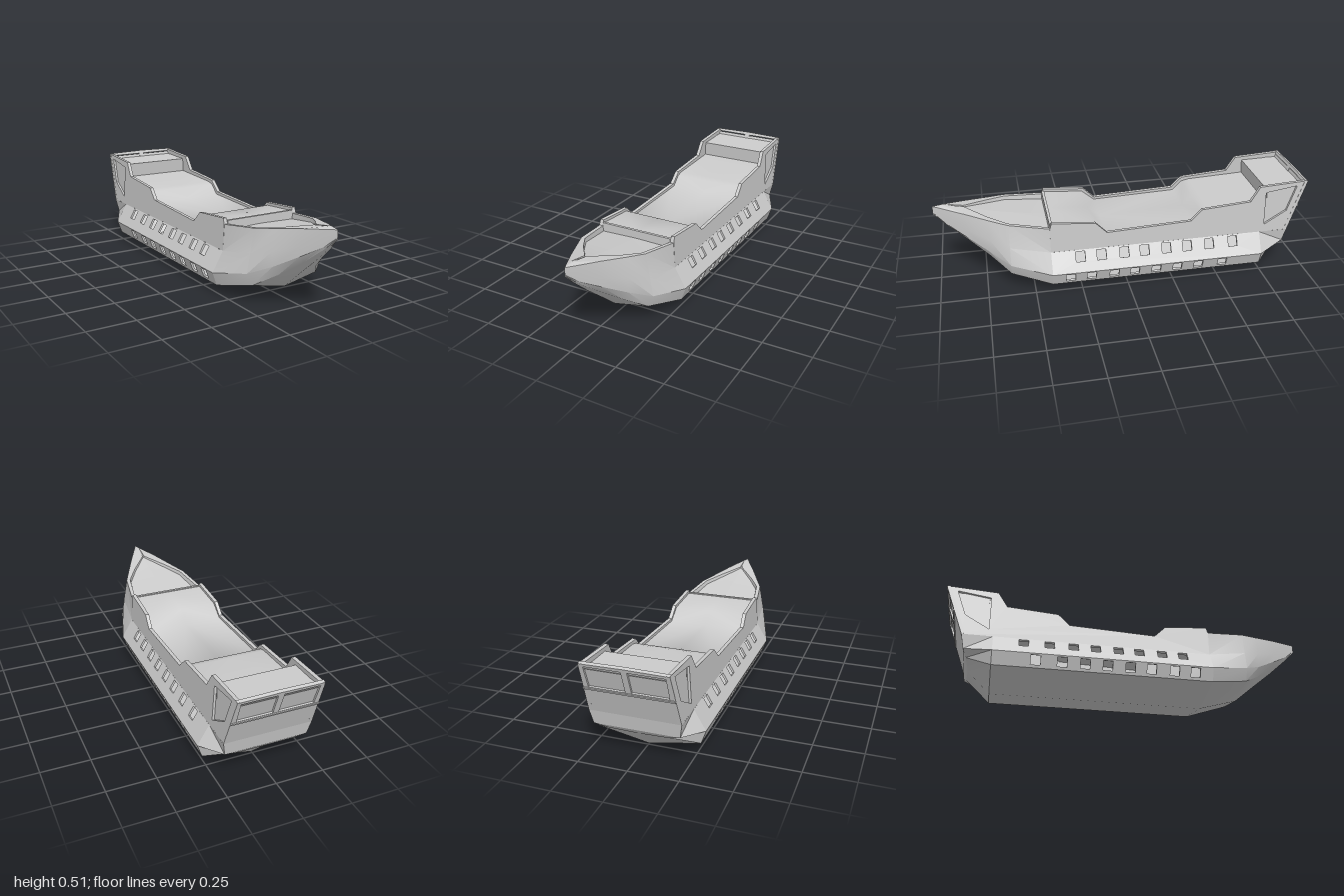
import * as THREE from 'three';
import { toCreasedNormals } from 'three/addons/utils/BufferGeometryUtils.js';

const V = (x, y, z) => new THREE.Vector3(x, y, z);

export function createModel() {
  const ship = new THREE.Group();
  ship.name = 'sailingShipHull';
  const material = new THREE.MeshStandardMaterial({ color: 0xcccccc, side: THREE.DoubleSide });

  function add(name, geo) {
    const mesh = new THREE.Mesh(geo, material);
    mesh.name = name;
    ship.add(mesh);
  }

  // Copy reflected across x = 0, with the corner order reversed
  function reflect(geo) {
    const out = geo.index ? geo.toNonIndexed() : geo.clone();
    const src = out.attributes.position.clone();
    const pos = out.attributes.position;
    for (let i = 0; i < pos.count; i++) {
      const j = i % 3 === 1 ? i + 1 : i % 3 === 2 ? i - 1 : i;
      pos.setXYZ(i, -src.getX(j), src.getY(j), src.getZ(j));
    }
    out.computeVertexNormals();
    return out;
  }

  function addPair(name, geo, crease) {
    const finish = g => (crease ? toCreasedNormals(g, crease) : g);
    add(name + 'Left', finish(geo));
    add(name + 'Right', finish(reflect(geo)));
  }

  // Skin between successive rows of [x, y, z] points
  function loft(rows) {
    const p = [];
    for (let s = 0; s + 1 < rows.length; s++) {
      for (let i = 0; i + 1 < rows[s].length; i++) {
        const a = rows[s][i], b = rows[s][i + 1], c = rows[s + 1][i + 1], d = rows[s + 1][i];
        p.push(...a, ...b, ...c, ...a, ...c, ...d);
      }
    }
    const geo = new THREE.BufferGeometry();
    geo.setAttribute('position', new THREE.Float32BufferAttribute(p, 3));
    geo.computeVertexNormals();
    return geo;
  }

  // Flat plate with holes, laid on the axes u and v at an origin
  function plate(outline, holes, depth, origin, u, v) {
    const points = list => list.map(q => new THREE.Vector2(q[0], q[1]));
    const shape = new THREE.Shape(points(outline));
    shape.holes = holes.map(h => new THREE.Path(points(h)));
    const geo = new THREE.ExtrudeGeometry(shape, { depth, bevelEnabled: false });
    const n = u.clone().cross(v).normalize();
    geo.applyMatrix4(new THREE.Matrix4().makeBasis(u, v, n).setPosition(origin));
    geo.computeVertexNormals();
    return geo;
  }
  const rect = (a, b, c, d) => [[a, b], [c, b], [c, d], [a, d]];

  // Hull sections: keel, chine, wale, knuckle
  const mid = z => [[0, 0, z], [0.265, 0.05, z], [0.29, 0.12, z], [0.229, 0.225, z]];
  const stern = [[0, 0.12, -0.86], [0.15, 0.13, -0.87], [0.215, 0.15, -0.885], [0.229, 0.225, -0.9]];
  const aft = -0.74, fore = 0.41;
  addPair('sternHull', loft([stern, mid(aft)]), 0.5);
  addPair('bottom', loft([mid(aft).slice(0, 2), mid(fore).slice(0, 2)]));
  addPair('lowerTransom', loft([stern.map(q => [0, q[1], q[2]]), stern]), 0.3);

  // Bow sections go on over the rail to the middle of the foredeck
  const bow = [
    [0.41, [0, 0], [0.265, 0.05], [0.29, 0.12], [0.229, 0.225], [0.22, 0.36], [0.2, 0.36], [0.197, 0.33], [0, 0.335]],
    [0.62, [0, 0.06], [0.195, 0.1], [0.225, 0.165], [0.208, 0.262], [0.185, 0.385], [0.163, 0.385], [0.158, 0.365], [0, 0.37]],
    [0.72, [0, 0.145], [0.11, 0.17], [0.147, 0.215], [0.153, 0.292], [0.138, 0.4], [0.1, 0.402], [0.096, 0.385], [0, 0.39]],
    [0.84, [0, 0.245], [0.05, 0.26], [0.08, 0.287], [0.083, 0.335], [0.08, 0.42], [0.006, 0.428], [0.003, 0.42], [0, 0.42]],
    [0.94, [0, 0.335], [0.02, 0.34], [0.028, 0.35], [0.03, 0.375], [0.03, 0.433], [0.01, 0.445], [0.005, 0.446], [0, 0.447]],
    [1, [0, 0.395], [0, 0.4], [0, 0.405], [0, 0.41], [0, 0.44], [0, 0.441], [0, 0.441], [0, 0.441]]
  ].map(([z, ...row]) => row.map(([x, y]) => [x, y, z]));
  addPair('bowHull', loft(bow), 0.45);

  // Side strakes pierced by rows of square ports
  const forward = V(0, 0, 1);
  function strake(name, from, to, y0, y1, centres) {
    const dir = V(to[0] - from[0], to[1] - from[1], 0);
    const length = dir.length();
    const at = y => (y - from[1]) / dir.y * length;
    const holes = centres.map(z => rect(z - 0.025, at(y0), z + 0.025, at(y1)));
    addPair(name, plate(rect(aft, 0, fore, length), holes, 0.012,
      V(from[0], from[1], 0), forward, dir.normalize()));
  }
  const [, chine, wale, knuckle] = mid(0);
  strake('lowerPortStrake', chine, wale, 0.065, 0.112,
    [0.315, 0.203, 0.08, -0.032, -0.15, -0.267, -0.385, -0.52]);
  strake('upperPortStrake', wale, knuckle, 0.17, 0.217,
    [0.257, 0.144, 0.021, -0.09, -0.21, -0.326, -0.45, -0.583]);

  // Leaning bulwarks with a stepped rail and a recessed quarter panel
  const sheer = [[-0.9, 0.225], [0.41, 0.225], [0.41, 0.36], [0.4, 0.39], [0.17, 0.37], [0.11, 0.31],
    [-0.35, 0.33], [-0.41, 0.39], [-0.68, 0.41], [-0.73, 0.49], [-0.998, 0.505]];
  const quarter = [[-0.765, 0.267], [-0.765, 0.455], [-0.94, 0.48], [-0.89, 0.34]];
  const lean = V(-0.05, 1, 0);
  addPair('bulwark', plate(sheer, [quarter], 0.02, V(0.24, 0, 0), forward, lean));
  addPair('quarterPanel', plate(quarter, [], 0.006, V(0.228, 0, 0), forward, lean));

  // Main deck steps down to the waist and up to the poop
  const deck = [[-0.985, 0.475], [-0.77, 0.47], [-0.775, 0.39], [-0.45, 0.375], [-0.41, 0.365],
    [-0.36, 0.312], [0.11, 0.295], [0.18, 0.355], [0.4, 0.372]];
  addPair('deck', loft(deck.map(([z, y]) => [[0.21, y, z], [0, y, z]])), 0.9);
  const beam = new THREE.BoxGeometry(0.4, 0.05, 0.015);
  beam.translate(0, 0.352, 0.402);
  add('forecastleBeam', beam);

  // Raked transom with two recessed panels
  const rake = V(0, 0.28, -0.1).normalize();
  const across = V(1, 0, 0);
  const base = V(0, 0.225, -0.9);
  const edge = [[-0.229, 0], [0.229, 0], [0.216, 0.295], [0, 0.299], [-0.216, 0.295]];
  const panels = [rect(0.015, 0.155, 0.195, 0.28), rect(-0.195, 0.155, -0.015, 0.28)];
  add('transom', plate(edge, panels, 0.018, base, across, rake));
  for (const panel of panels) {
    add('transomPanel', plate(panel, [], 0.006, base.clone().add(V(0, 0, 0.01)), across, rake));
  }
  // Ledge under the transom panels
  add('transomLedge', plate(rect(-0.222, 0.14, 0.222, 0.15), [], 0.012,
    base.clone().add(V(0, 0, -0.006)), across, rake));

  return ship;
}
